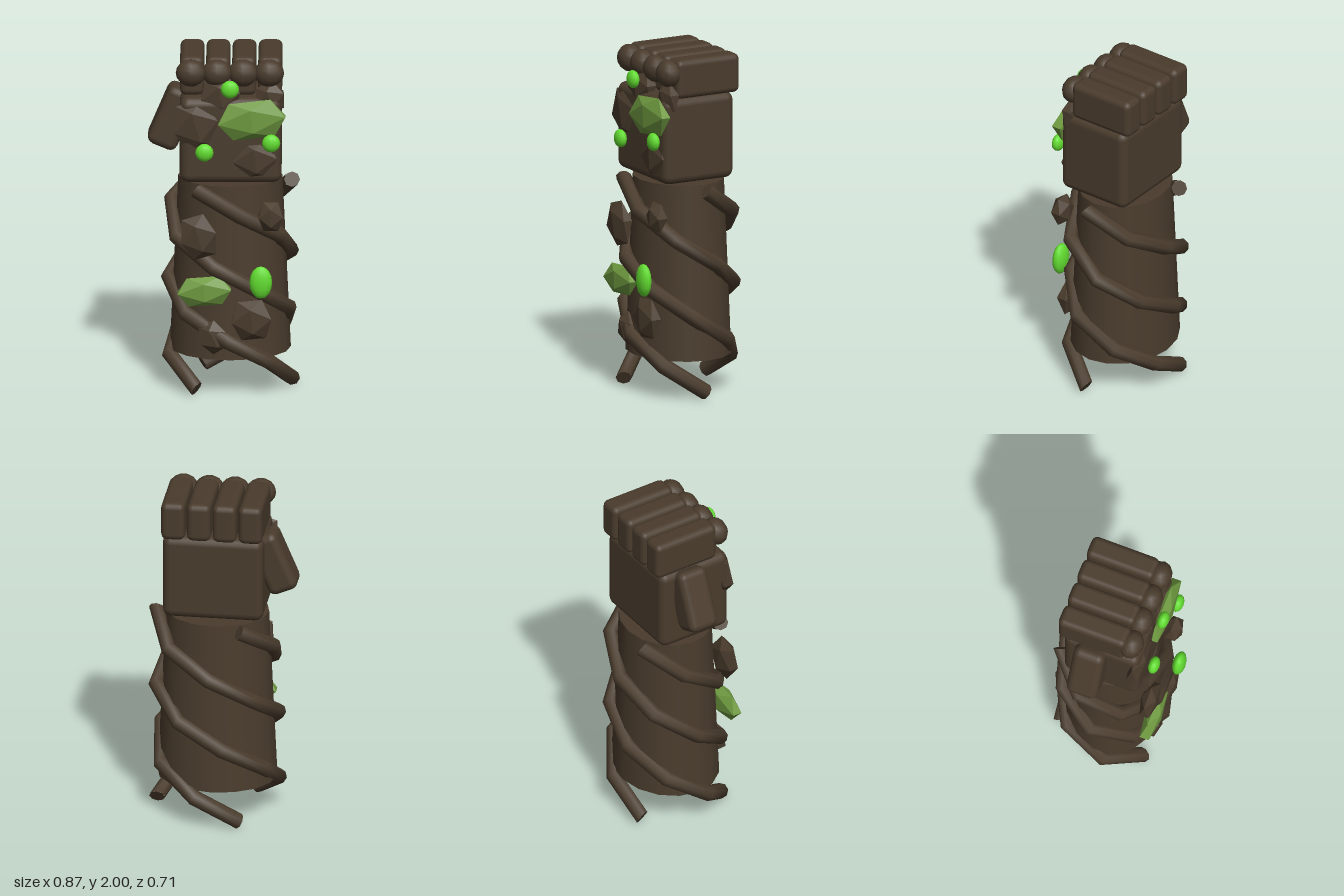
import * as THREE from 'three';
import { RoundedBoxGeometry } from 'three/addons/geometries/RoundedBoxGeometry.js';

const CX = 0.03, CZ = -0.013; // forearm axis

// Elliptical spiral winding once around the forearm
class VineCurve extends THREE.Curve {
  constructor(start) {
    super();
    this.start = start;
  }
  getPoint(t, target = new THREE.Vector3()) {
    const a = this.start + t * Math.PI * 2;
    return target.set(CX + 0.355 * Math.sin(a), 1.228 - 1.19 * t, CZ + 0.3 * Math.cos(a));
  }
}

export function createModel() {
  const group = new THREE.Group();
  const material = (name, color, flatShading = false) => {
    const m = new THREE.MeshStandardMaterial({ color, flatShading });
    m.name = name;
    return m;
  };
  const bark = material('bark', 0x4a3c2d);
  const rough = material('roughBark', 0x4a3c2d, true);
  const moss = material('moss', 0x6f9a40, true);
  const glow = material('glowGreen', 0x62dc30);

  const add = (name, geometry, mat, x, y, z) => {
    const mesh = new THREE.Mesh(geometry, mat);
    mesh.name = name;
    mesh.position.set(x, y, z);
    group.add(mesh);
    return mesh;
  };

  // Forearm: tapered oval trunk
  const arm = add('forearm', new THREE.CylinderGeometry(0.3, 0.348, 1.03, 16), bark, CX, 0.737, CZ);
  arm.scale.z = 0.85;

  // Palm, fingers, knuckles and thumb
  add('palm', new RoundedBoxGeometry(0.585, 0.51, 0.465, 2, 0.05), bark, 0.033, 1.523, 0.008);
  for (let i = 0; i < 4; i++) {
    const x = -0.19 + i * 0.15;
    add('finger', new RoundedBoxGeometry(0.138, 0.23, 0.415, 2, 0.036), bark, x, 1.885, -0.05);
    const knuckle = add('knuckle', new THREE.SphereGeometry(1, 12, 8), bark, x - 0.006, 1.918, 0.18);
    knuckle.scale.set(0.087, 0.08, 0.07);
  }
  const thumb = add('thumb', new RoundedBoxGeometry(0.18, 0.37, 0.19, 2, 0.045), bark, -0.303, 1.595, -0.045);
  thumb.rotation.z = -0.4;

  // Three vines a third of a turn apart, with closed ends
  for (let k = 0; k < 3; k++) {
    const curve = new VineCurve(THREE.MathUtils.degToRad(-33 + 120 * k));
    const r = 0.046;
    add('vine', new THREE.TubeGeometry(curve, 8, r, 8), bark, 0, 0, 0);
    for (const t of [0, 1]) {
      const p = curve.getPointAt(t);
      const cap = add('vineEnd', new THREE.CircleGeometry(r, 8), bark, p.x, p.y, p.z);
      cap.lookAt(p.clone().addScaledVector(curve.getTangentAt(t), t ? 1 : -1));
    }
  }

  // Faceted lumps: centre x, y, z then half sizes
  const lump = (name, mat, x, y, z, sx, sy, sz, turn = 0) => {
    const mesh = add(name, new THREE.IcosahedronGeometry(1 / 0.851, 0), mat, x, y, z);
    mesh.scale.set(sx, sy, sz);
    mesh.rotation.z = turn;
  };
  const knots = [
    [-0.15, 0.96, 0.275, 0.105, 0.125, 0.045, 0.3],
    [0.265, 1.08, 0.262, 0.07, 0.085, 0.05, 0],
    [0.155, 0.46, 0.268, 0.115, 0.115, 0.05, 0.1],
    [-0.065, 0.355, 0.265, 0.08, 0.09, 0.045, 0.5],
    [-0.165, 1.61, 0.215, 0.13, 0.145, 0.05, 0.3],
    [0.175, 1.41, 0.215, 0.125, 0.115, 0.05, 0.1],
    [-0.025, 1.785, 0.195, 0.115, 0.1, 0.05, 0.2],
    [0.26, 1.77, 0.185, 0.085, 0.085, 0.045, 0.4],
  ];
  knots.forEach((k) => lump('barkKnot', rough, ...k));
  lump('handMoss', moss, 0.155, 1.655, 0.248, 0.195, 0.11, 0.045, 0.12);
  lump('armMoss', moss, -0.117, 0.637, 0.285, 0.155, 0.085, 0.045, 0.08);

  // Glowing buds
  const buds = [
    [0.03, 1.85, 0.287, 0.053, 0.053, 0.033],
    [-0.117, 1.47, 0.287, 0.053, 0.053, 0.033],
    [0.267, 1.527, 0.287, 0.053, 0.053, 0.033],
    [0.208, 0.7, 0.317, 0.066, 0.097, 0.038],
  ];
  for (const [x, y, z, sx, sy, sz] of buds) {
    add('glowBud', new THREE.SphereGeometry(1, 12, 8), glow, x, y, z).scale.set(sx, sy, sz);
  }
  return group;
}
